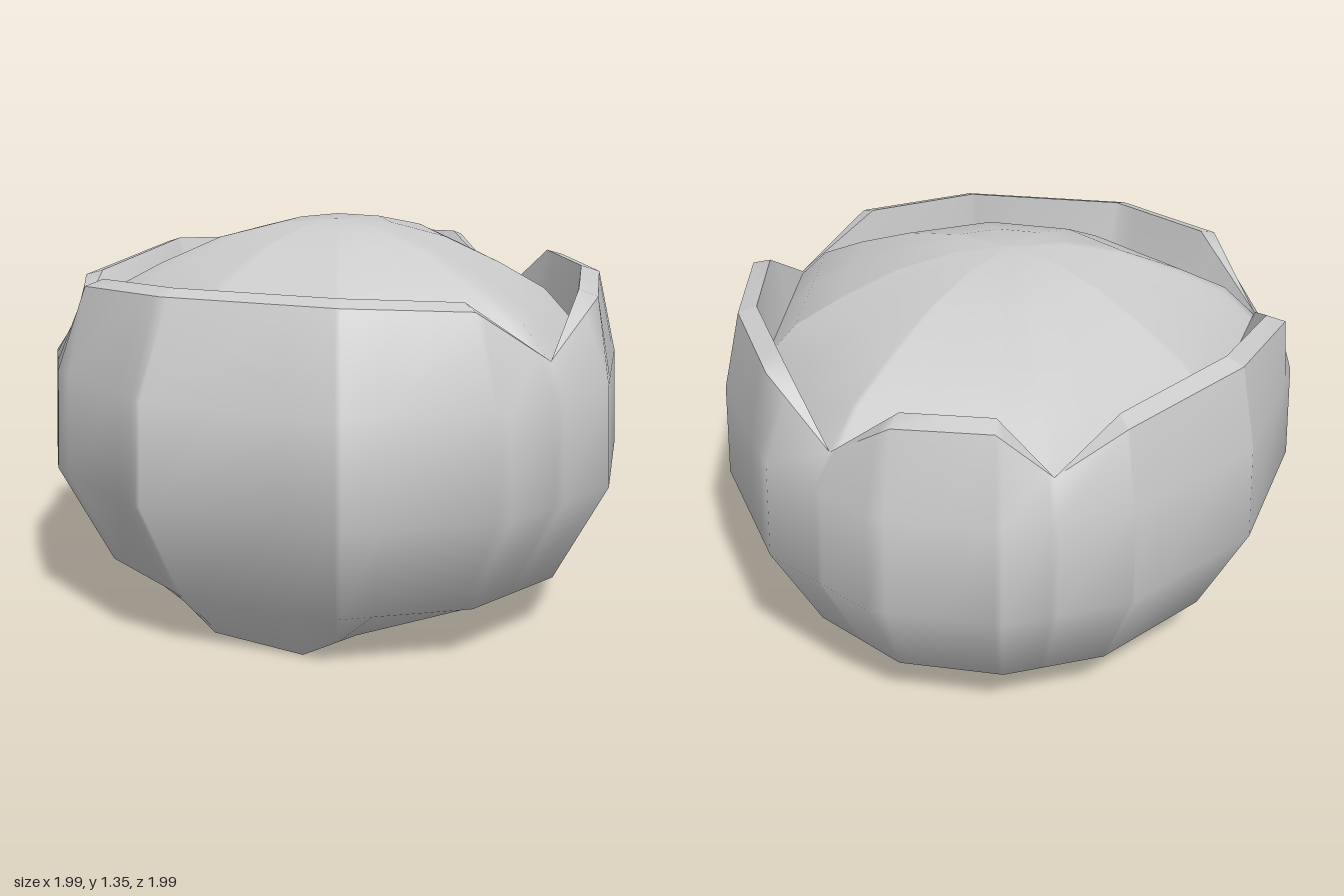
import * as THREE from 'three';

// Outlines seen from above, as [x, z] or [x, z, y], going round from +x towards +z
const foot = [[0.59, 0.07], [0.2, 0.22], [0.06, 0.47], [-0.12, 0.63], [-0.42, 0.44], [-0.43, 0.08],
  [-0.36, -0.42], [-0.17, -0.49], [0.02, -0.43], [0.23, -0.53], [0.44, -0.42], [0.44, -0.15]];
const belly = [[0.99, 0.03], [0.88, 0.55], [0.52, 0.89], [-0.02, 0.995], [-0.63, 0.74], [-0.95, 0.31],
  [-1, 0], [-0.98, -0.2], [-0.69, -0.68], [-0.22, -0.96], [0.2, -1], [0.6, -0.85], [0.88, -0.5]];
// Rim: low notches separate four broad teeth
const rimOuter = [[0.91, 0.03, 1.17], [0.84, 0.43, 1.16], [0.66, 0.66, 1.0], [0.41, 0.77, 1.18],
  [0, 0.81, 1.2], [-0.56, 0.62, 1.2], [-0.83, 0.34, 1.18], [-0.9, 0.04, 1.0], [-0.91, -0.25, 1.11],
  [-0.64, -0.63, 1.17], [-0.21, -0.88, 1.14], [0.02, -0.89, 1.0], [0.2, -0.89, 1.17],
  [0.5, -0.8, 1.17], [0.67, -0.61, 0.99], [0.84, -0.38, 1.16]];
const rimInner = rimOuter.map(([x, z, y]) => {
  const k = y > 1.05 ? 0.93 : 1; // no thickness in the notches
  return [x * k, z * k, y > 1.05 ? y + 0.02 : y];
});
const domeEdge = [[0.83, 0.03], [0.66, 0.66], [0, 0.75], [-0.57, 0.51], [-0.9, 0.04],
  [-0.57, -0.54], [0.02, -0.89], [0.67, -0.61]];

const angle = ([x, z]) => Math.atan2(z, x);
const wrap = (a) => ((a % (2 * Math.PI)) + 2 * Math.PI) % (2 * Math.PI);

// Every corner angle becomes one column of the surface
const angles = [...new Set([foot, belly, rimOuter, domeEdge].flat()
  .map((p) => Math.round(wrap(angle(p)) * 1000) / 1000))].sort((a, b) => a - b);

// Point where the ray at angle t crosses a closed outline
function cross(outline, t) {
  const c = Math.cos(t), s = Math.sin(t);
  for (let i = 0; i < outline.length; i++) {
    const p = outline[i], q = outline[(i + 1) % outline.length];
    if (wrap(t - angle(p)) > wrap(angle(q) - angle(p)) + 1e-9) continue;
    const dp = p[0] * s - p[1] * c, dq = q[0] * s - q[1] * c;
    const k = Math.abs(dp - dq) < 1e-9 ? 0 : THREE.MathUtils.clamp(dp / (dp - dq), 0, 1);
    const lerp = (n) => (p[n] ?? 0) + ((q[n] ?? 0) - (p[n] ?? 0)) * k;
    return [Math.hypot(lerp(0), lerp(1)), lerp(2)];
  }
  return [Math.hypot(outline[0][0], outline[0][1]), outline[0][2] ?? 0];
}

// One ring: outline scaled about the axis, at height y (or at its own heights)
const ring = (outline, scale, y) => angles.map((t) => {
  const [r, h] = cross(outline, t);
  return [r * scale * Math.cos(t), y ?? h, r * scale * Math.sin(t)];
});

// Skin a chain of rings with smooth normals
function loft(name, rings) {
  const n = angles.length, index = [];
  for (let j = 0; j < rings.length - 1; j++) {
    for (let i = 0; i < n; i++) {
      const a = j * n + i, b = j * n + (i + 1) % n;
      index.push(a, a + n, b, b, a + n, b + n);
    }
  }
  const geometry = new THREE.BufferGeometry();
  geometry.setAttribute('position', new THREE.Float32BufferAttribute(rings.flat(2), 3));
  geometry.setIndex(index);
  geometry.computeVertexNormals();
  const material = new THREE.MeshStandardMaterial({ color: 0xcccccc, side: THREE.DoubleSide });
  const mesh = new THREE.Mesh(geometry, material);
  mesh.name = name;
  return mesh;
}

export function createModel() {
  const model = new THREE.Group();
  model.name = 'toothedBowlWithDome';
  model.add(
    loft('base', [ring(foot, 0.001, 0), ring(foot, 1, 0)]),
    loft('outerShell', [ring(foot, 1, 0), ring(belly, 0.82, 0.2), ring(belly, 1, 0.55),
      ring(belly, 0.985, 0.89), ring(rimOuter, 1)]),
    loft('rim', [ring(rimOuter, 1), ring(rimInner, 1)]),
    loft('innerWall', [ring(rimInner, 1), ring(domeEdge, 1, 0.99)]),
    // Shallow dome filling the bowl
    loft('dome', [[1, 0.99], [0.87, 1.11], [0.68, 1.2], [0.45, 1.29], [0.22, 1.34], [0.001, 1.35]]
      .map(([scale, y]) => ring(domeEdge, scale, y))),
  );
  return model;
}
